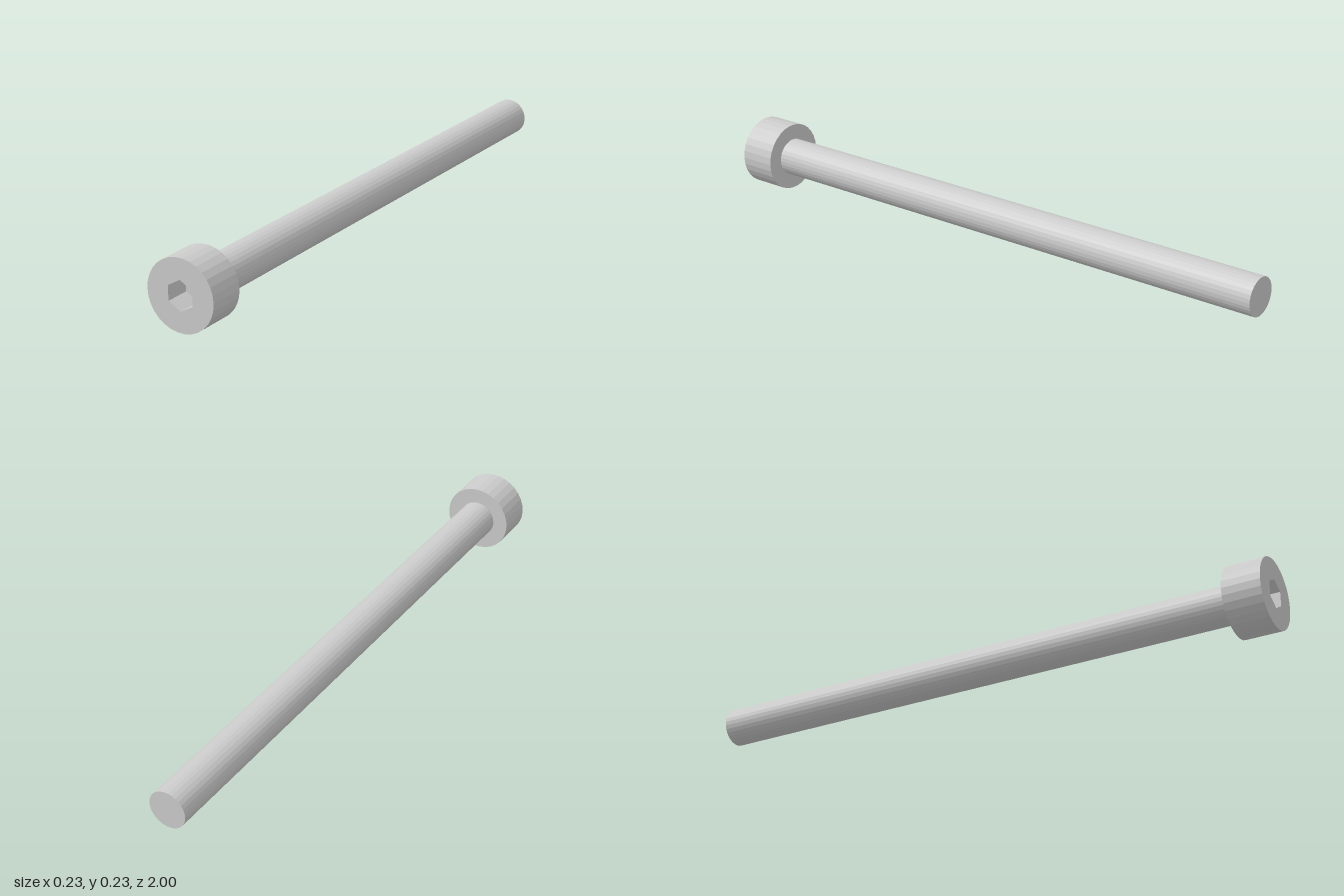
import * as THREE from 'three';

const SIDES = 30;
const HEAD_R = 0.1146, SHAFT_R = 0.0625, SOCKET_R = 0.0481;
const BACK = -1, SHOULDER = 0.875, FRONT = 1, SOCKET_DEPTH = 0.083;
const AXIS_Y = HEAD_R * Math.cos(Math.PI / SIDES); // lowest facet rests on y = 0

export function createModel() {
  const model = new THREE.Group();
  model.name = 'socketHeadScrew';
  const material = new THREE.MeshStandardMaterial({ color: 0xcccccc, flatShading: true });

  const add = (name, geometry, z = 0) => {
    const mesh = new THREE.Mesh(geometry, material);
    mesh.name = name;
    mesh.position.set(0, AXIS_Y, z);
    model.add(mesh);
  };

  // Faceted solid of revolution along z from [radius, z] pairs, back to front
  const turned = (profile) => new THREE.LatheGeometry(
    profile.map(([r, z]) => new THREE.Vector2(r, z)), SIDES, Math.PI / 2).rotateX(Math.PI / 2);

  // Regular polygon corners in the xy plane
  const polygon = (radius, sides, start) => Array.from({ length: sides }, (_, i) => {
    const a = start + (i / sides) * Math.PI * 2;
    return new THREE.Vector2(radius * Math.cos(a), radius * Math.sin(a));
  });

  // Shaft with its closed rear end
  add('shaft', turned([[0, BACK], [SHAFT_R, BACK], [SHAFT_R, SHOULDER]]));

  // Head: underside ring and outer wall
  add('head', turned([[SHAFT_R, SHOULDER], [HEAD_R, SHOULDER], [HEAD_R, FRONT]]));

  // Front face of the head with the hexagonal opening
  const face = new THREE.Shape(polygon(HEAD_R, SIDES, 0));
  face.holes.push(new THREE.Path(polygon(SOCKET_R, 6, Math.PI / 2)));
  add('headFace', new THREE.ShapeGeometry(face), FRONT);

  // Socket walls, mirrored so that they face inward
  const walls = new THREE.CylinderGeometry(SOCKET_R, SOCKET_R, SOCKET_DEPTH, 6, 1, true);
  add('socketWalls', walls.rotateX(Math.PI / 2).scale(-1, 1, 1), FRONT - SOCKET_DEPTH / 2);

  // Socket floor
  add('socketFloor', new THREE.CircleGeometry(SOCKET_R, 6, Math.PI / 2), FRONT - SOCKET_DEPTH);

  return model;
}
